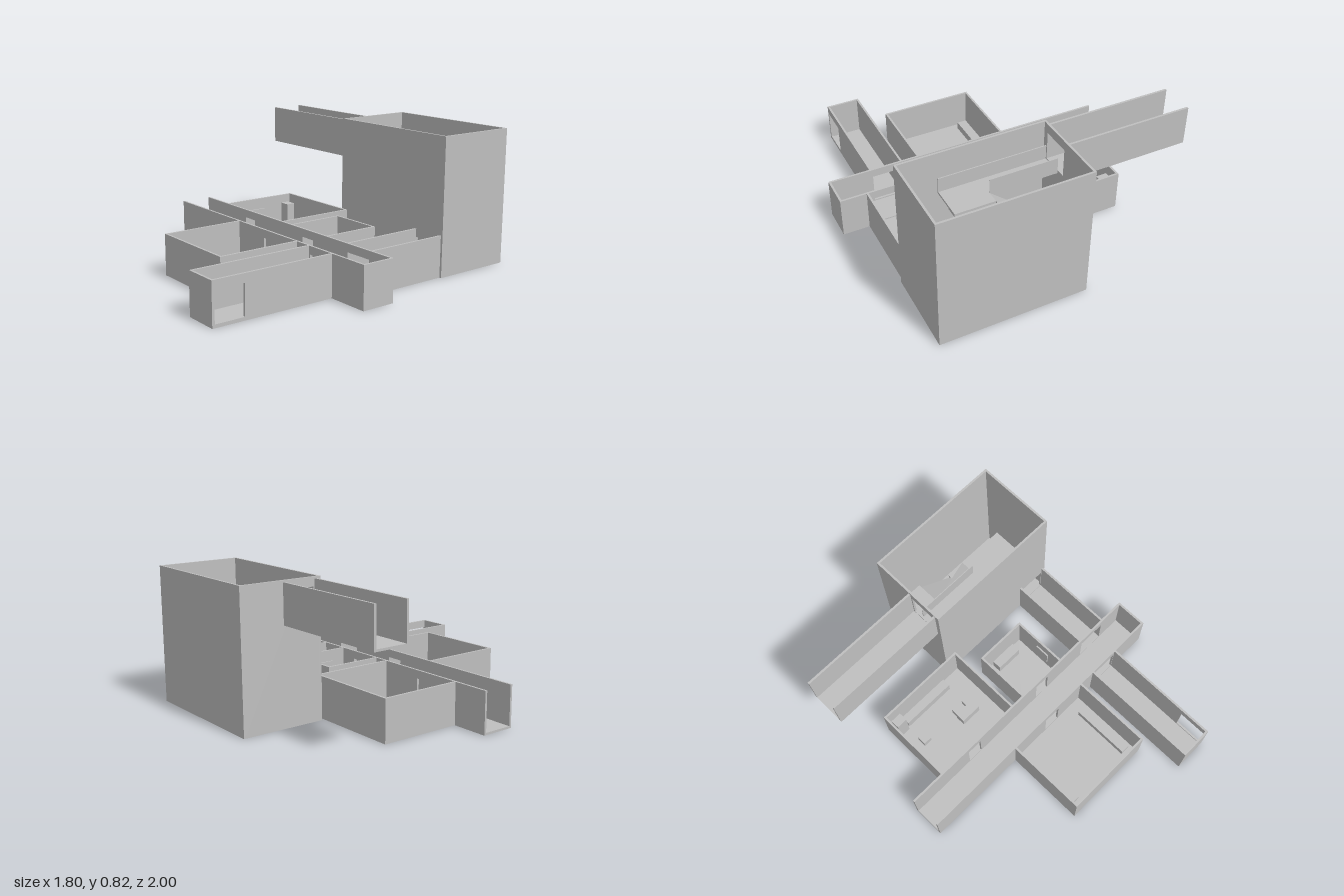
import * as THREE from 'three';

const T = 0.013; // wall and floor thickness

export function createModel() {
  const model = new THREE.Group();
  model.name = 'roomLayout';
  const grey = new THREE.MeshStandardMaterial({ color: 0xbfbfbf });
  grey.name = 'plainGrey';

  const add = (parent, name, geometry) => {
    const mesh = new THREE.Mesh(geometry, grey);
    mesh.name = name;
    parent.add(mesh);
    return mesh;
  };
  const group = (name) => {
    const g = new THREE.Group();
    g.name = name;
    model.add(g);
    return g;
  };
  // Box given by its limits on each axis
  const box = (parent, name, x0, x1, y0, y1, z0, z1) => {
    const mesh = add(parent, name, new THREE.BoxGeometry(x1 - x0, y1 - y0, z1 - z0));
    mesh.position.set((x0 + x1) / 2, (y0 + y1) / 2, (z0 + z1) / 2);
  };
  // Upright panel from a to b along an axis, with rectangular openings [a, b, bottom, top]
  const wall = (parent, name, axis, a, b, at, y0, y1, openings = []) => {
    const rect = (Type, l, r, d, u) => new Type([
      new THREE.Vector2(l, d), new THREE.Vector2(r, d), new THREE.Vector2(r, u), new THREE.Vector2(l, u)]);
    const shape = rect(THREE.Shape, a, b, y0, y1);
    openings.forEach((o) => shape.holes.push(rect(THREE.Path, ...o)));
    const geo = new THREE.ExtrudeGeometry(shape, { depth: T, bevelEnabled: false });
    geo.translate(0, 0, -T / 2);
    if (axis === 'z') geo.rotateY(-Math.PI / 2);
    const mesh = add(parent, name, geo);
    if (axis === 'x') mesh.position.z = at;
    else mesh.position.x = at;
  };
  // Open-topped room; sides maps north/south/east/west to a list of openings
  const room = (name, x0, x1, z0, z1, y0, y1, sides) => {
    const g = group(name);
    box(g, 'floor', x0, x1, y0, y0 + T, z0, z1);
    const h = T / 2, base = y0 + T;
    // side walls fit between the north and south ones
    const za = sides.north ? z0 + T : z0, zb = sides.south ? z1 - T : z1;
    if (sides.north) wall(g, 'northWall', 'x', x0, x1, z0 + h, base, y1, sides.north);
    if (sides.south) wall(g, 'southWall', 'x', x0, x1, z1 - h, base, y1, sides.south);
    if (sides.west) wall(g, 'westWall', 'z', za, zb, x0 + h, base, y1, sides.west);
    if (sides.east) wall(g, 'eastWall', 'z', za, zb, x1 - h, base, y1, sides.east);
    return g;
  };

  const H = 0.25, D0 = 0.02, D1 = 0.2; // room height, door bottom and top

  // Main corridor, open at its west end
  room('mainCorridor', -0.905, 0.9, 0.03, 0.237, 0, H, {
    north: [[-0.46, -0.36, D0, D1], [0.13, 0.23, D0, D1], [0.54, 0.72, D0, D1]],
    south: [[0.015, 0.125, D0, D1], [0.45, 0.625, D0, D1]],
    east: [],
  });

  // Front rooms
  const hall = room('frontRoom', -0.255, 0.332, 0.237, 0.745, 0, H, { south: [], east: [], west: [] });
  for (const x of [-0.22, 0.236]) box(hall, 'bench', x, x + 0.06, T, 0.06, 0.315, 0.688);
  room('exitCorridor', 0.43, 0.642, 0.237, 0.995, 0, H, {
    south: [], west: [], east: [[0.8, 0.98, D0, D1]],
  });

  // West room with furniture
  const west = room('westRoom', -0.677, -0.07, -0.472, 0.03, 0, H, { north: [], east: [], west: [] });
  box(west, 'cabinet', -0.652, -0.582, T, 0.2, -0.437, -0.38);
  box(west, 'counter', -0.572, -0.216, T, 0.08, -0.447, -0.392);
  box(west, 'stool', -0.59, -0.535, T, 0.06, -0.287, -0.228);
  box(west, 'desk', -0.32, -0.184, T, 0.08, -0.22, -0.155);
  for (const x of [-0.315, -0.23]) box(west, 'chair', x, x + 0.045, T, 0.06, -0.265, -0.222);
  box(west, 'wallBoard', -0.664, -0.653, 0.08, 0.18, -0.24, -0.1);

  // Small room
  const small = room('smallRoom', 0.012, 0.355, -0.327, 0.03, 0, H, { north: [], east: [], west: [] });
  box(small, 'table', 0.095, 0.27, T, 0.08, -0.305, -0.245);
  box(small, 'wallBoard', 0.333, 0.342, 0.08, 0.18, -0.155, -0.06);

  // Corridor joining the main corridor to the tower
  room('linkCorridor', 0.525, 0.737, -0.488, 0.03, 0, H, { east: [], west: [] });

  // Tall stair room
  const tower = room('tower', -0.14, 0.75, -1, -0.488, 0, 0.825, {
    north: [], east: [],
    south: [[0.54, 0.72, D0, D1]],
    west: [[-0.71, -0.535, 0.6, 0.77]],
  });
  // Sloped slab between x0 and x1 at floor heights y0 and y1
  const ramp = (name, x0, x1, y0, y1, z0, z1) => {
    const s = new THREE.Shape([
      new THREE.Vector2(x0, y0 - 0.02), new THREE.Vector2(x1, y1 - 0.02),
      new THREE.Vector2(x1, y1), new THREE.Vector2(x0, y0)]);
    const geo = new THREE.ExtrudeGeometry(s, { depth: z1 - z0, bevelEnabled: false });
    add(tower, name, geo).position.z = z0;
  };
  box(tower, 'lowerLanding', 0.285, 0.73, T, 0.2, -0.902, -0.728);
  ramp('lowerRamp', 0.05, 0.285, 0.4, 0.2, -0.885, -0.745);
  box(tower, 'middleLanding', -0.11, 0.05, 0.38, 0.4, -0.902, -0.655);
  ramp('upperRamp', 0.05, 0.285, 0.4, 0.593, -0.745, -0.655);
  box(tower, 'upperLanding', 0.285, 0.523, 0.573, 0.593, -0.728, -0.655);
  box(tower, 'walkway', -0.127, 0.523, 0.58, 0.593, -0.655, -0.52);
  box(tower, 'innerRail', -0.127, 0.285, 0.593, 0.68, -0.655, -0.65);
  box(tower, 'outerRail', -0.127, 0.523, 0.593, 0.68, -0.527, -0.52);

  // Raised corridor leaving the tower, open at its west end
  room('raisedCorridor', -0.905, -0.14, -0.732, -0.515, 0.58, 0.815, { north: [], south: [] });

  return model;
}
